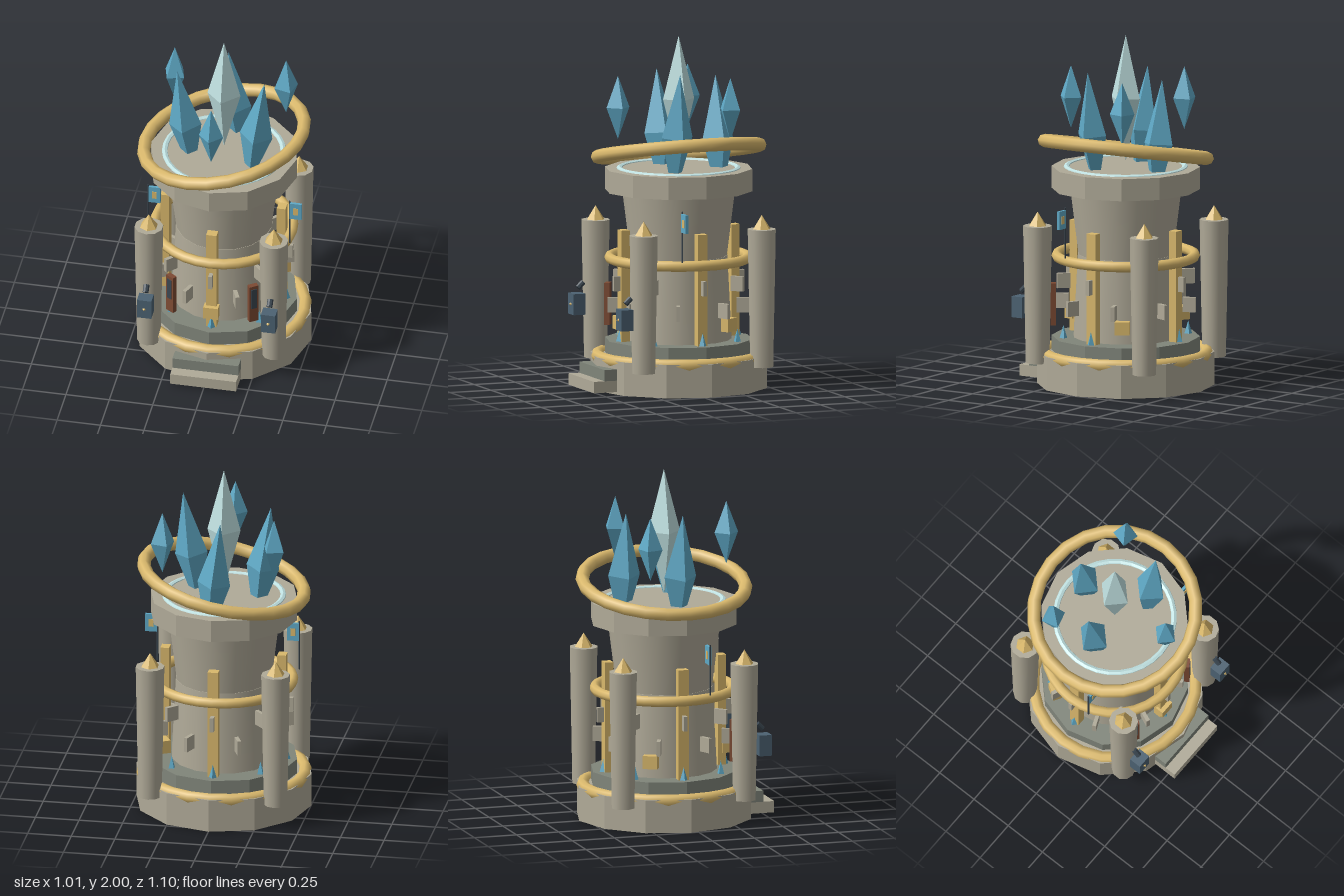
import * as THREE from 'three';

const mat = (color, flatShading = false) => new THREE.MeshStandardMaterial({ color, flatShading });
const stone = mat(0xb0aa98);
const stoneFlat = mat(0xb0aa98, true);
const darkStone = mat(0x80857a, true);
const gold = mat(0xd9b86c);
const goldFlat = mat(0xd9b86c, true);
const blue = mat(0x5fa9c6, true);
const pale = mat(0xbfe0e0, true);
const slate = mat(0x4c6272, true);
const brown = mat(0x7d4a33, true);
const dark = mat(0x3a4650, true);

export function createModel() {
  const model = new THREE.Group();
  const tower = new THREE.Group();
  tower.name = 'tower';
  tower.position.z = -0.043;
  model.add(tower);

  function add(name, geometry, material, x = 0, y = 0, z = 0, parent = tower) {
    const mesh = new THREE.Mesh(geometry, material);
    mesh.name = name;
    mesh.position.set(x, y, z);
    parent.add(mesh);
    return mesh;
  }
  const box = (w, h, d) => new THREE.BoxGeometry(w, h, d);
  const cyl = (rTop, rBottom, h, n) => new THREE.CylinderGeometry(rTop, rBottom, h, n);
  const ring = (r, tube, n = 32) => new THREE.TorusGeometry(r, tube, 8, n).rotateX(Math.PI / 2);

  // Places a part at a distance from the axis, turned to face outward
  function addAround(name, geometry, material, angle, r, y) {
    const mesh = add(name, geometry, material, Math.sin(angle) * r, y, Math.cos(angle) * r);
    mesh.rotation.y = angle;
    return mesh;
  }

  // Base, tier, shaft and platform
  add('base', cyl(0.503, 0.503, 0.19, 12), stoneFlat, 0, 0.095);
  add('baseRing', ring(0.46, 0.036, 24), gold, 0, 0.18);
  add('lowerTier', cyl(0.42, 0.42, 0.09, 12), darkStone, 0, 0.23);
  add('lowerShaft', cyl(0.275, 0.3, 0.48, 16), stone, 0, 0.51);
  add('upperShaft', cyl(0.32, 0.27, 0.4, 16), stone, 0, 0.93);
  add('shaftRing', ring(0.39, 0.03), gold, 0, 0.737);
  add('platform', cyl(0.42, 0.42, 0.127, 12), stoneFlat, 0, 1.183);
  add('platformInlay', ring(0.335, 0.02), pale, 0, 1.237);
  add('tiltedHalo', ring(0.463, 0.038, 24), gold, 0, 1.343).rotation.z = 0.2;

  // Steps at the front
  add('lowerStep', box(0.38, 0.065, 0.17), stoneFlat, 0, 0.048, 0.508);
  add('upperStep', box(0.38, 0.065, 0.12), darkStone, 0, 0.112, 0.468);

  // Corner pillars with pointed caps
  for (const sx of [-1, 1]) {
    for (const sz of [-1, 1]) {
      add('pillar', cyl(0.082, 0.067, 0.785, 10), stone, sx * 0.36, 0.532, sz * 0.36);
      add('pillarCap', new THREE.ConeGeometry(0.053, 0.08, 6), goldFlat, sx * 0.36, 0.965, sz * 0.36);
    }
  }

  // Gold ribs, stone fins and small crystals around the shaft
  for (let i = 0; i < 4; i++) {
    addAround('goldRib', box(0.06, 0.635, 0.05), goldFlat, i * Math.PI / 2, 0.335, 0.592);
  }
  for (let i = 0; i < 8; i++) {
    const a = i * Math.PI / 4;
    addAround('upperFin', box(0.022, 0.085, 0.075), stoneFlat, a, 0.36, 0.605);
    addAround('lowerFin', box(0.022, 0.085, 0.075), stoneFlat, a + Math.PI / 8, 0.365, 0.465);
    addAround('smallCrystal', new THREE.ConeGeometry(0.022, 0.075, 4), blue, a, 0.36, 0.312);
  }
  for (let i = 0; i < 3; i++) {
    addAround('goldBlock', box(0.085, 0.075, 0.05), goldFlat, i * Math.PI * 2 / 3, 0.36, 0.382);
  }

  // Narrow doors, lanterns and flags on both sides
  for (const s of [-1, 1]) {
    const door = addAround('door', box(0.055, 0.24, 0.03), brown, s * 0.61, 0.41, 0.46);
    add('doorPanel', box(0.035, 0.13, 0.01), dark, 0, 0.035, 0.014, door);

    const lantern = add('lantern', box(0.083, 0.12, 0.072), slate, s * 0.357, 0.45, 0.475);
    const stud = add('lanternStud', new THREE.ConeGeometry(0.01, 0.014, 6), goldFlat, 0, 0, 0.042, lantern);
    stud.rotation.x = Math.PI / 2;
    const bracket = add('lanternBracket', cyl(0.017, 0.017, 0.045, 8), dark, 0, 0.105, -0.022, lantern);
    bracket.rotation.x = -0.8;

    add('flagPole', cyl(0.005, 0.005, 0.29, 6), dark, s * 0.407, 0.91, 0.143);
    const flag = add('flag', box(0.068, 0.105, 0.016), blue, s * 0.407 + 0.036, 0.99, 0.143);
    add('flagPatch', box(0.028, 0.045, 0.022), goldFlat, 0, 0, 0, flag);
  }

  // Pointed crystals: x, y, z, radius, half height, lean, turn
  const crystals = [
    ['centralCrystal', 0, 1.64, 0, 0.095, 0.36, 0, 0, pale],
    ['leftLeaningCrystal', -0.218, 1.42, 0.026, 0.094, 0.365, 0.13, 0, blue],
    ['rightLeaningCrystal', 0.204, 1.45, 0.093, 0.094, 0.365, -0.13, 0, blue],
    ['rearCrystal', 0.017, 1.4, -0.232, 0.094, 0.365, 0.1, 0, blue],
  ];
  for (let i = 0; i < 3; i++) {
    const a = i * Math.PI * 2 / 3;
    crystals.push(['floatingCrystal', Math.sin(a) * 0.37, 1.61, Math.cos(a) * 0.37, 0.07, 0.18, 0, a, blue]);
  }
  for (const [name, x, y, z, r, h, lean, turn, material] of crystals) {
    const geometry = new THREE.OctahedronGeometry(1).scale(r, h, r);
    add(name, geometry, material, x, y, z).rotation.set(0, turn, lean);
  }

  return model;
}
